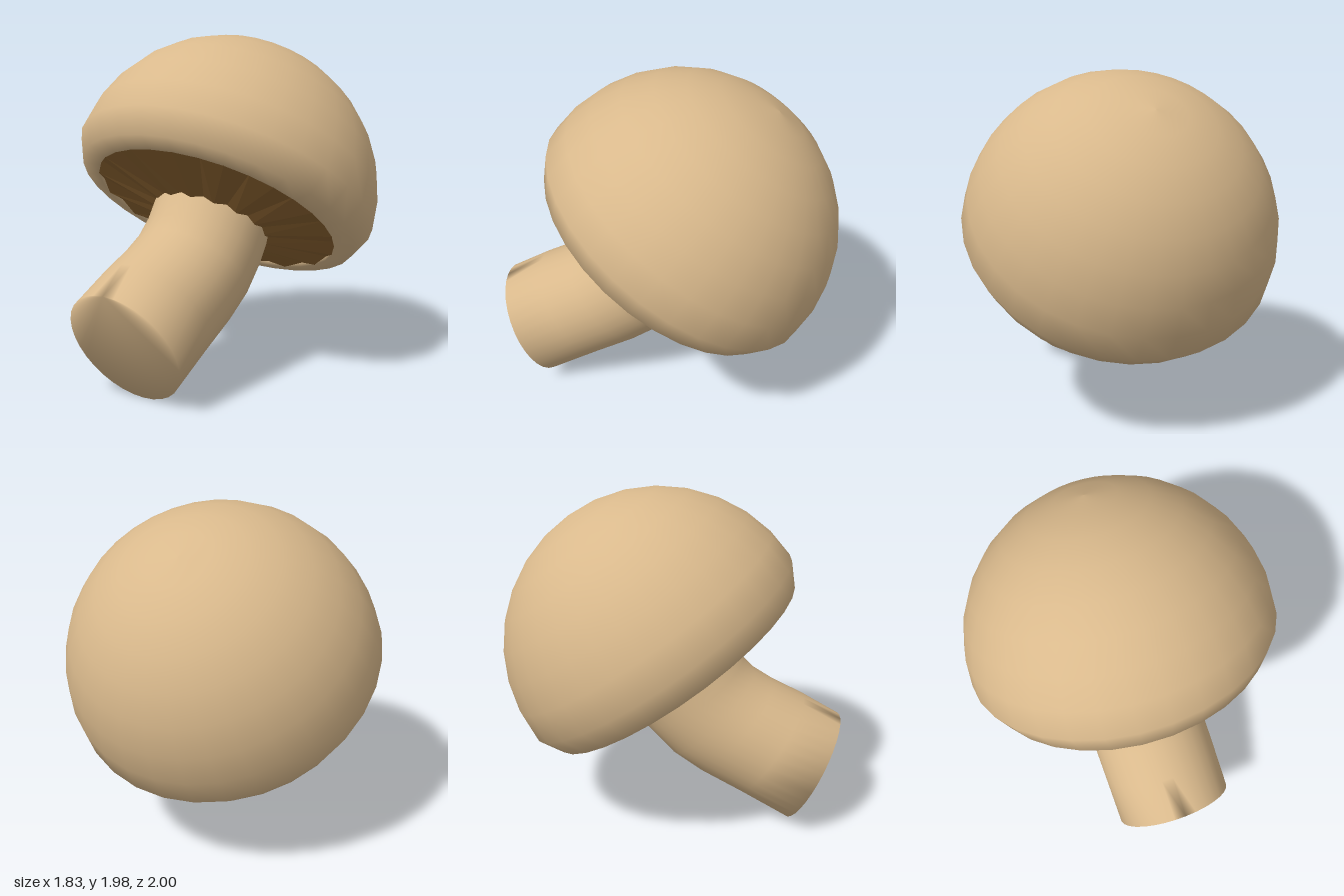
import * as THREE from 'three';

const SIDES = 32;
const TILT = -0.613;

// Surface through rings of equal size; optional end fan
function skin(rings, closeStart) {
  const pos = rings.flat(2);
  const n = rings[0].length, idx = [];
  for (let r = 0; r < rings.length - 1; r++) {
    for (let i = 0; i < n; i++) {
      const a = r * n + i, b = r * n + (i + 1) % n;
      idx.push(a, b, a + n, b, b + n, a + n);
    }
  }
  if (closeStart) for (let i = 1; i < n - 1; i++) idx.push(0, i + 1, i);
  const g = new THREE.BufferGeometry();
  g.setAttribute('position', new THREE.Float32BufferAttribute(pos, 3));
  g.setIndex(idx);
  g.computeVertexNormals();
  return g;
}

function named(geometry, material, name) {
  const m = new THREE.Mesh(geometry, material);
  m.name = name;
  return m;
}

export function createModel() {
  const model = new THREE.Group();
  const tan = new THREE.MeshStandardMaterial({ color: 0xd9b98c, side: THREE.DoubleSide });
  const brown = new THREE.MeshStandardMaterial({ color: 0x8a6230, side: THREE.DoubleSide, flatShading: true });

  // Tilted head: dome, rolled rim and gills share one axis
  const head = new THREE.Group();
  head.name = 'head';
  head.position.set(0, 1.07, -0.083);
  head.rotation.x = TILT;
  model.add(head);

  // Cap: lip, rim, then a half-sphere up to the pole
  const R = 0.915;
  const profile = [[0.735, -0.12], [0.735, -0.165], [0.845, -0.14]].map(p => new THREE.Vector2(...p));
  for (let i = 0; i <= 8; i++) {
    const a = i / 8 * Math.PI / 2;
    profile.push(new THREE.Vector2(i === 8 ? 0 : R * Math.cos(a), R * Math.sin(a)));
  }
  head.add(named(new THREE.LatheGeometry(profile, SIDES), tan, 'cap'));

  // Gills: shallow pleated cone, every second edge lifted
  const gillRing = (r, y, lift) => Array.from({ length: SIDES }, (_, i) => {
    const a = i / SIDES * Math.PI * 2;
    return [r * Math.sin(a), y + (i % 2 ? 0 : lift), r * Math.cos(a)];
  });
  const gills = skin([gillRing(0.32, -0.245, 0.02), gillRing(0.737, -0.165, 0.03)], false);
  head.add(named(gills, brown, 'gills'));

  // Stem: bent tube of tilted rings [z, y, tilt in degrees], closed at the foot
  const spine = [
    [0.845, 0.32, 64], [0.59, 0.46, 58], [0.38, 0.565, 51.5],
    [0.24, 0.655, 46.5], [0.125, 0.775, 36], [0.06, 0.875, 35], [0, 0.957, 35],
  ];
  const rings = spine.map(([z, y, deg]) => Array.from({ length: SIDES }, (_, i) => {
    const a = i / SIDES * Math.PI * 2, t = THREE.MathUtils.degToRad(deg), r = 0.353;
    const c = r * Math.cos(a);
    return [r * Math.sin(a), y + c * Math.sin(t), z + c * Math.cos(t)];
  }));
  model.add(named(skin(rings, true), tan, 'stem'));

  return model;
}
